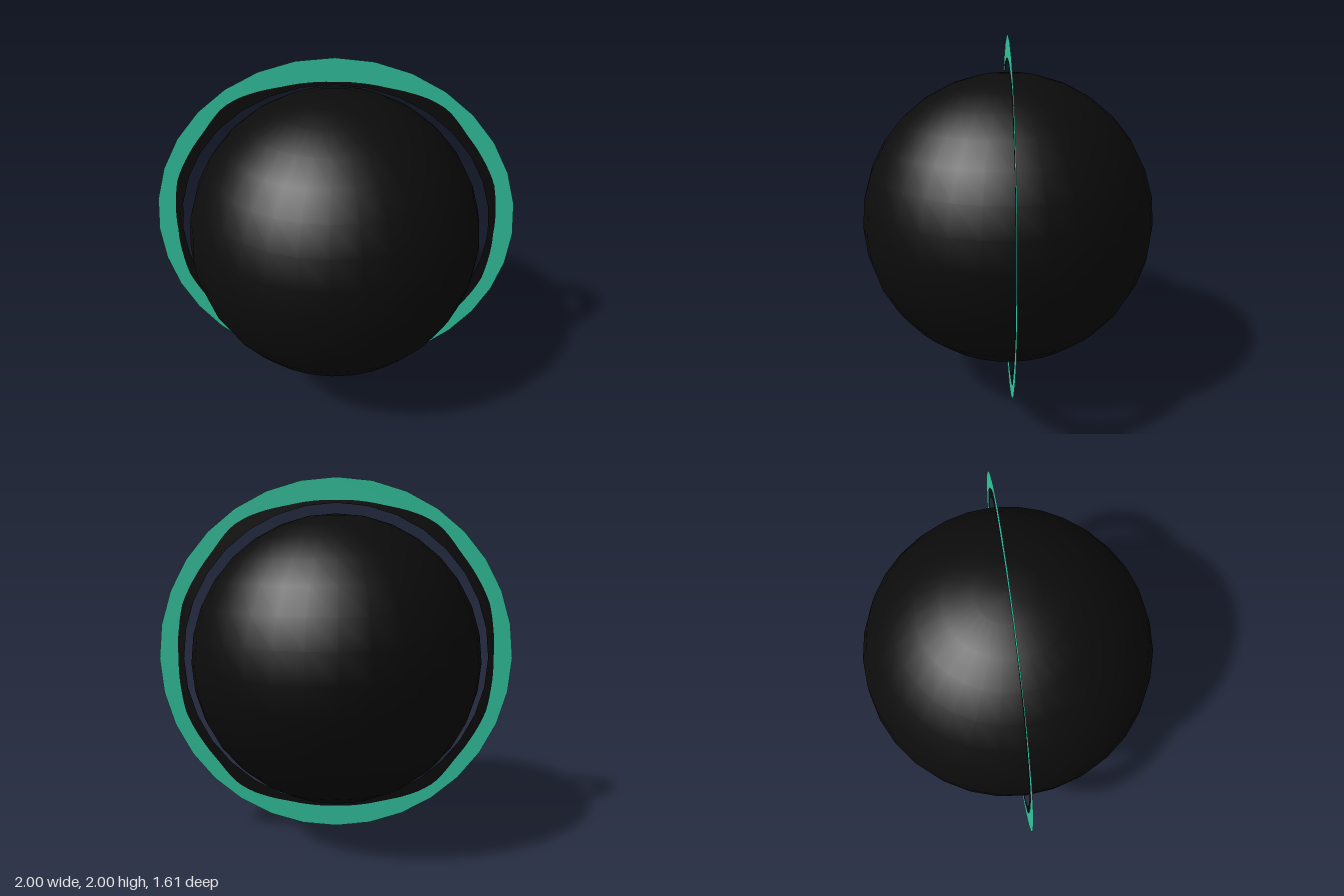
import * as THREE from 'three';

const SEGMENTS = 32;

// Radius of the wavy colour border over one quadrant: [degrees, radius]
const BORDER = [
  [0, 0.893], [12, 0.903], [20, 0.915], [31, 0.91], [41, 0.91],
  [52, 0.934], [58, 0.927], [72, 0.89], [80, 0.883], [90, 0.877],
];

// Border radius at any angle, mirrored into all four quadrants
function borderRadius(angle) {
  let d = THREE.MathUtils.radToDeg(angle) % 180;
  if (d > 90) d = 180 - d;
  const i = Math.max(1, BORDER.findIndex(([a]) => a >= d - 1e-6));
  const [a0, r0] = BORDER[i - 1];
  const [a1, r1] = BORDER[i];
  return r0 + (r1 - r0) * (d - a0) / (a1 - a0);
}

// Closed loop of points whose radius follows a rule
function loop(count, radius) {
  return Array.from({ length: count }, (_, i) => {
    const a = (i / count) * Math.PI * 2;
    const r = radius(a);
    return new THREE.Vector2(Math.cos(a) * r, Math.sin(a) * r);
  });
}

// Flat band between two loops
function band(name, outer, inner, material) {
  const shape = new THREE.Shape(outer);
  shape.holes.push(new THREE.Path(inner));
  const mesh = new THREE.Mesh(new THREE.ShapeGeometry(shape), material);
  mesh.name = name;
  mesh.position.y = 1;
  return mesh;
}

export function createModel() {
  const black = new THREE.MeshStandardMaterial({ color: 0x0c0c0c, side: THREE.DoubleSide });
  black.name = 'black';
  const green = new THREE.MeshStandardMaterial({ color: 0x34c9a3, side: THREE.DoubleSide });
  green.name = 'sea green';

  const group = new THREE.Group();
  group.name = 'ringedSphere';

  // Central ball
  const ball = new THREE.Mesh(new THREE.SphereGeometry(0.805, SEGMENTS, 16), black);
  ball.name = 'ball';
  ball.position.y = 1;
  group.add(ball);

  // Paper-thin upright ring: black inner edge, green outer band
  const border = loop(128, borderRadius);
  group.add(
    band('ringInnerEdge', border, loop(SEGMENTS, () => 0.862), black),
    band('ringOuterBand', loop(SEGMENTS, () => 1), border, green),
  );
  return group;
}
